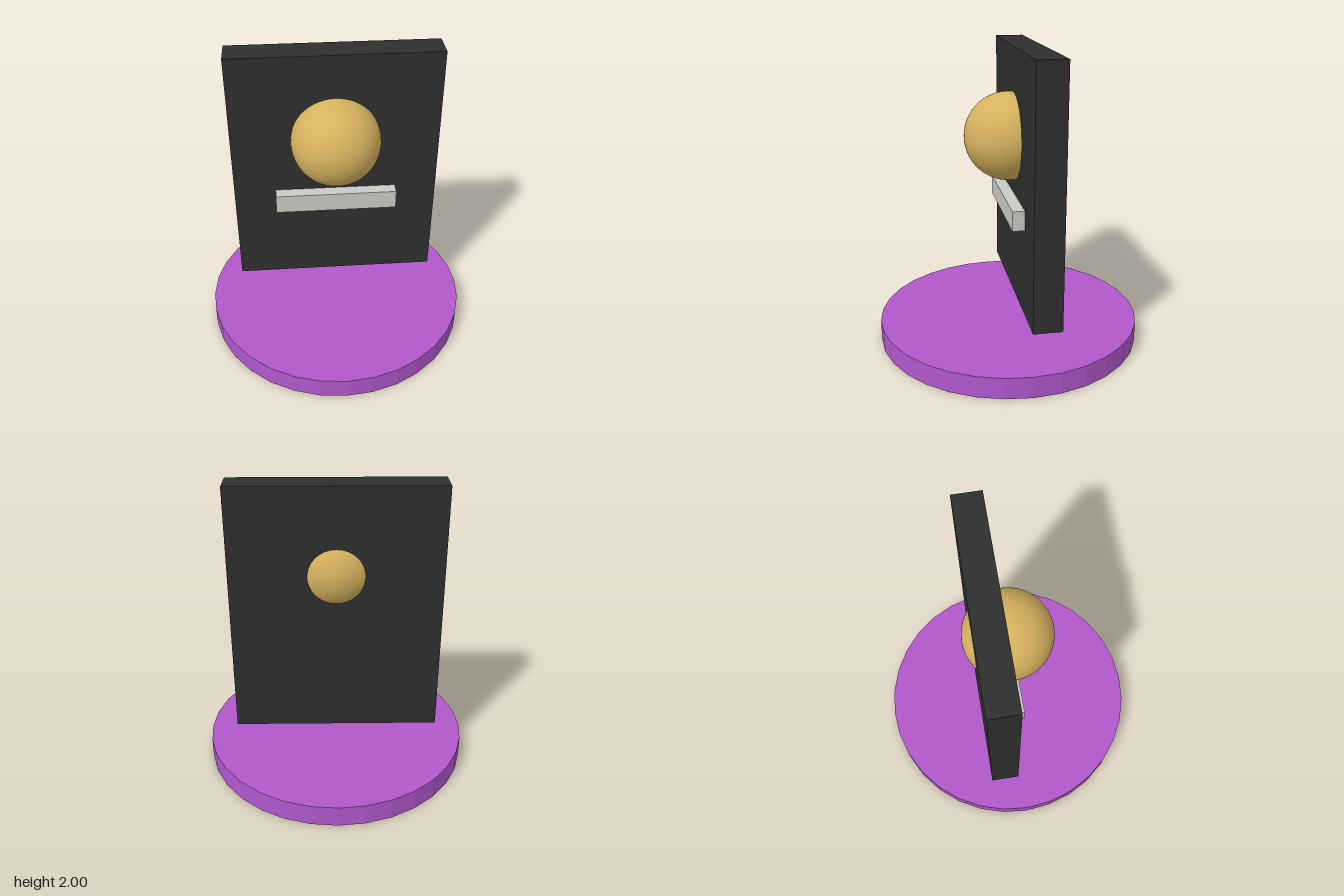
import * as THREE from 'three';

const material = (name, color, flatShading = false) => {
  const m = new THREE.MeshStandardMaterial({ color, flatShading });
  m.name = name;
  return m;
};

export function createModel() {
  const group = new THREE.Group();
  group.name = 'model';

  const purple = material('purple', 0xb058cc, true);
  const charcoal = material('charcoal', 0x2e2e2e);
  const gold = material('gold', 0xd6b25e);
  const paleGrey = material('paleGrey', 0xcacac6);

  const add = (name, geometry, mat, x, y, z) => {
    const mesh = new THREE.Mesh(geometry, mat);
    mesh.name = name;
    mesh.position.set(x, y, z);
    group.add(mesh);
  };

  // Round base disc
  add('base', new THREE.CylinderGeometry(0.893, 0.893, 0.143, 32), purple, 0, 0.0715, 0);

  // Upright slab floating above the base
  add('backPanel', new THREE.BoxGeometry(1.364, 1.688, 0.192), charcoal, 0, 1.156, -0.131);

  // Ball passing through the slab
  add('ball', new THREE.SphereGeometry(0.292, 64, 48), gold, 0, 1.417, 0);

  // Bar under the ball, sunk into the slab
  add('bar', new THREE.BoxGeometry(0.81, 0.131, 0.09), paleGrey, 0, 0.961, 0);

  return group;
}
